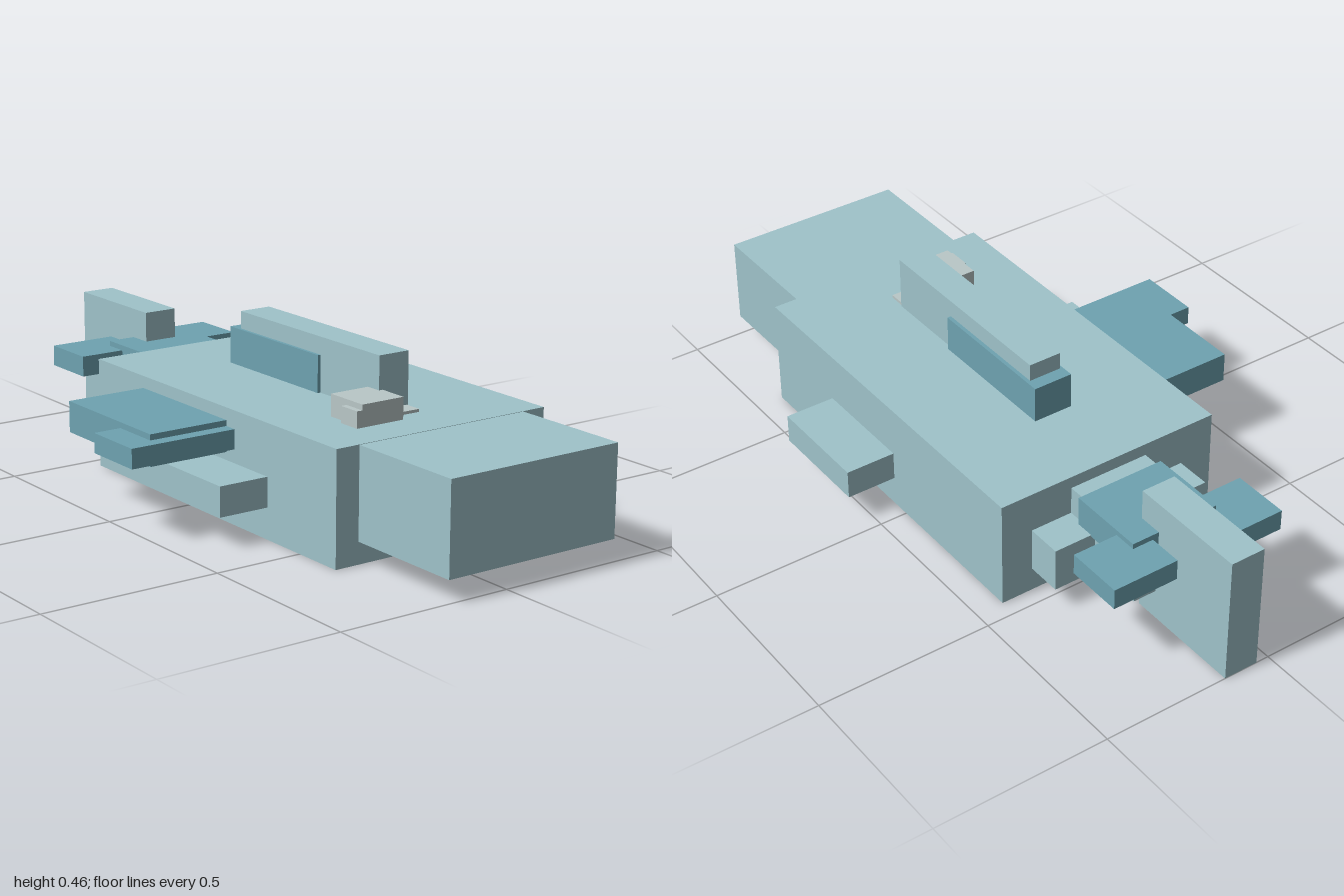
import * as THREE from 'three';

export function createModel() {
  const model = new THREE.Group();
  const colour = (name, hex) => {
    const m = new THREE.MeshStandardMaterial({ color: hex });
    m.name = name;
    return m;
  };
  const pale = colour('paleBlue', 0x9fc3ca);
  const teal = colour('teal', 0x6ea3b1);
  const grey = colour('lightGrey', 0xb9c7c7);

  // Box given by its [min, max] extent on each axis
  const block = (name, material, [x0, x1], [y0, y1], [z0, z1]) => {
    const mesh = new THREE.Mesh(new THREE.BoxGeometry(x1 - x0, y1 - y0, z1 - z0), material);
    mesh.position.set((x0 + x1) / 2, (y0 + y1) / 2, (z0 + z1) / 2);
    mesh.name = name;
    model.add(mesh);
  };

  // Body and head
  block('body', pale, [-0.45, 0.65], [0, 0.31], [-0.42, 0.25]);
  block('head', pale, [0.648, 1], [0.06, 0.309], [-0.35, 0.18]);

  // Tail stem, its collar and sleeve
  block('tailCollar', pale, [-0.552, -0.44], [0.07, 0.195], [-0.328, 0.152]);
  block('tailStem', pale, [-0.717, -0.44], [0.085, 0.275], [-0.205, 0.032]);
  block('tailSleeve', teal, [-0.722, -0.497], [0.19, 0.279], [-0.217, 0.045]);

  // Upright tail fin with a small fluke on each side
  block('tailFin', pale, [-1, -0.653], [0, 0.365], [-0.137, -0.037]);
  for (const [name, z] of [['rearFluke', [-0.348, -0.155]], ['frontFluke', [-0.02, 0.178]]])
    block(name, teal, [-0.82, -0.655], [0.205, 0.264], z);

  // Ridge on the back with its coloured band
  block('backRidge', pale, [-0.167, 0.45], [0.3, 0.462], [-0.131, -0.036]);
  block('ridgeBand', teal, [-0.205, 0.2], [0.3, 0.413], [-0.142, -0.027]);

  // Flippers through both flanks
  block('rearFlipper', pale, [0.053, 0.36], [0.086, 0.168], [-0.563, -0.41]);
  block('frontFlipper', pale, [0.053, 0.36], [0.086, 0.168], [0.24, 0.395]);

  // Broad coloured fin on the front flank and its tip
  block('flankFin', teal, [-0.22, 0.178], [0.19, 0.276], [0.24, 0.484]);
  block('flankFinTip', teal, [0.036, 0.215], [0.206, 0.26], [0.24, 0.563]);

  // Small grey blocks on top
  block('topBlock', grey, [0.404, 0.535], [0.3, 0.37], [-0.048, 0.083]);
  block('topBlockNose', grey, [0.47, 0.535], [0.3, 0.355], [0.08, 0.1]);
  block('topBlockPad', grey, [0.44, 0.5], [0.3, 0.318], [-0.128, -0.04]);

  return model;
}
